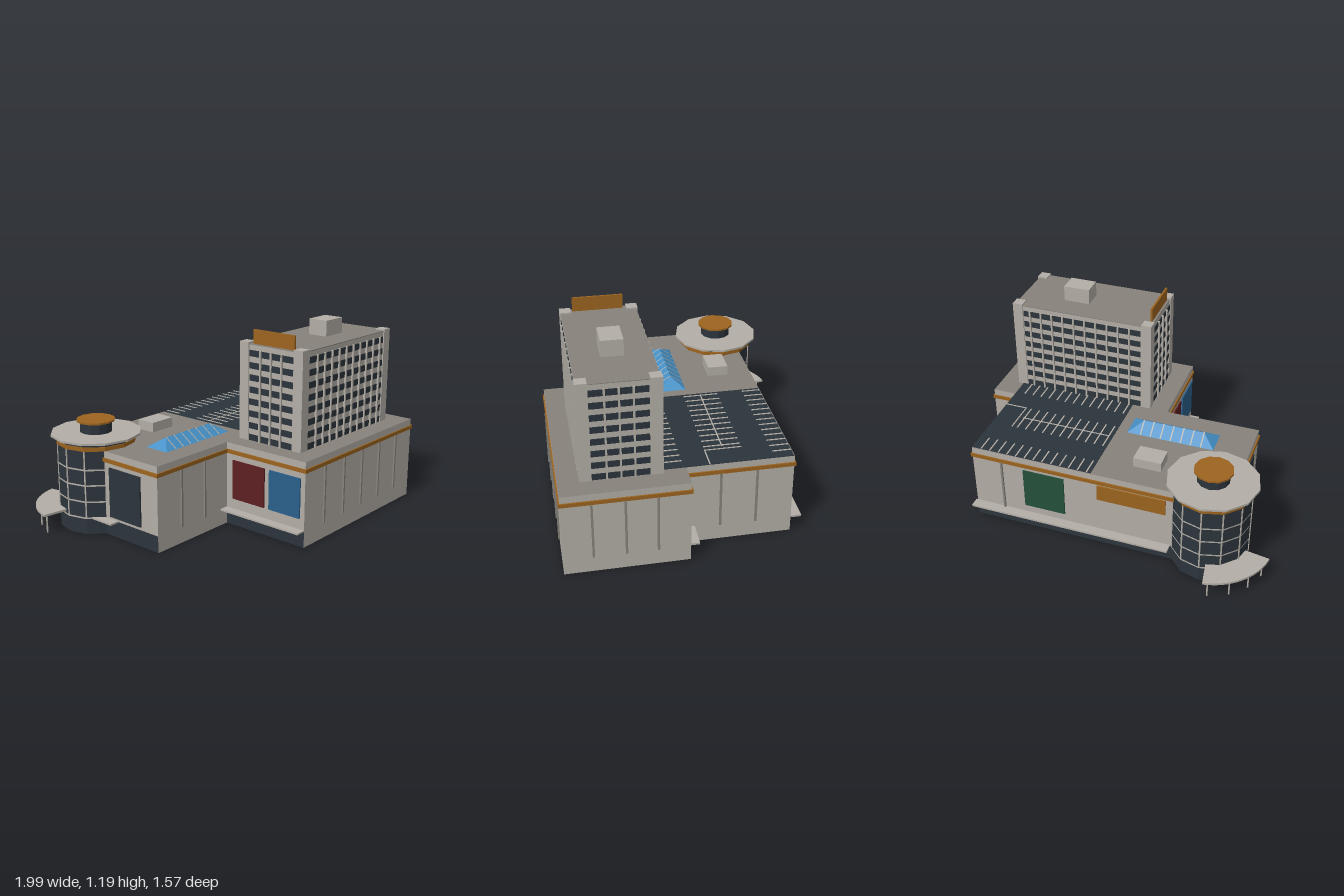
import * as THREE from 'three';

const flat = (name, color) => new THREE.MeshStandardMaterial({ name, color, side: THREE.DoubleSide, flatShading: true });
const M = {
  wall: flat('pale concrete', 0xb3aea6),
  roof: flat('roof grey', 0x87837b),
  orange: flat('ochre trim', 0x9c641f),
  glass: flat('dark glass', 0x2c343c),
  sky: flat('skylight blue', 0x4590c6),
  green: flat('green panel', 0x24503a),
  red: flat('red panel', 0x5e2022),
  blue: flat('blue panel', 0x2a608c),
};

export function createModel() {
  const model = new THREE.Group();
  const add = (name, geo, mat, parent = model) => {
    const m = new THREE.Mesh(geo, mat);
    m.name = name;
    parent.add(m);
    return m;
  };
  const group = (name) => {
    const g = new THREE.Group();
    g.name = name;
    model.add(g);
    return g;
  };
  // box given by its min and max on each axis
  const box = (name, mat, x0, x1, y0, y1, z0, z1, parent) => {
    const m = add(name, new THREE.BoxGeometry(x1 - x0, y1 - y0, z1 - z0), mat, parent);
    m.position.set((x0 + x1) / 2, (y0 + y1) / 2, (z0 + z1) / 2);
    return m;
  };
  const drum = (name, mat, r, y0, y1, parent, open = false) => {
    const m = add(name, new THREE.CylinderGeometry(r, r, y1 - y0, 12, 1, open), mat, parent);
    m.position.y = (y0 + y1) / 2;
    return m;
  };
  const triangles = (corners) => {
    const g = new THREE.BufferGeometry();
    g.setAttribute('position', new THREE.Float32BufferAttribute(corners.flat(), 3));
    g.computeVertexNormals();
    return g;
  };
  const quad = (a, b, c, d) => [a, b, c, a, c, d];

  // podium: open-bottomed walls round an L-shaped plan; glazed base where flagged
  const plan = [[-0.75, -0.54, 1], [0.83, -0.54, 0], [0.83, 0.07, 1], [0.98, 0.07, 0],
    [0.98, 0.77, 0], [-0.16, 0.77, 1], [-0.16, 0.2, 0], [-0.75, 0.2, 1]];
  const podium = group('podium');
  plan.forEach(([x, z, glazed], i) => {
    const [u, w] = plan[(i + 1) % plan.length];
    const strip = (y0, y1) => triangles(quad([x, y0, z], [x, y1, z], [u, y1, w], [u, y0, w]));
    if (glazed) add('glazedBase', strip(0, 0.1), M.glass, podium);
    add('podiumWall', strip(glazed ? 0.1 : 0, 0.51), M.wall, podium);
    const t = 0.008;
    box('ochreBand', M.orange, Math.min(x, u) - t, Math.max(x, u) + t, 0.447, 0.47,
      Math.min(z, w) - t, Math.max(z, w) + t, podium);
  });
  const roofShape = new THREE.Shape(plan.map(([x, z]) => new THREE.Vector2(x, -z)));
  add('podiumRoof', new THREE.ShapeGeometry(roofShape).rotateX(-Math.PI / 2), M.roof, podium).position.y = 0.51;

  // vertical wall fins
  const fins = group('wallFins');
  const fin = (x, z) => box('wallFin', M.roof, x - 0.006, x + 0.006, 0.1, 0.448, z - 0.006, z + 0.006, fins);
  for (const x of [0.025, 0.22, 0.41, 0.6, 0.79]) fin(x, 0.775);
  for (const x of [-0.56, -0.365]) fin(x, 0.205);
  for (const z of [0.25, 0.425, 0.605]) fin(0.985, z);
  for (const z of [-0.33, -0.125]) fin(0.835, z);
  fin(0.64, -0.545);

  // ground-floor canopies
  const canopies = group('canopies');
  box('rearCanopy', M.wall, -0.42, 0.84, 0.095, 0.107, -0.6, -0.54, canopies);
  box('sideCanopy', M.wall, -0.22, -0.16, 0.095, 0.105, 0.2, 0.77, canopies);
  box('notchCanopy', M.wall, 0.83, 0.98, 0.095, 0.107, 0.02, 0.07, canopies);
  box('leftCanopy', M.wall, -0.81, -0.75, 0.095, 0.105, -0.3, -0.12, canopies);

  // coloured wall panels
  const panels = group('wallPanels');
  box('greenPanel', M.green, 0.24, 0.5, 0.16, 0.425, -0.548, -0.54, panels);
  box('ochrePanel', M.orange, -0.39, 0.03, 0.335, 0.437, -0.549, -0.54, panels);
  box('redPanel', M.red, -0.169, -0.16, 0.17, 0.41, 0.25, 0.485, panels);
  box('bluePanel', M.blue, -0.169, -0.16, 0.17, 0.41, 0.52, 0.74, panels);
  box('glassPanel', M.glass, -0.759, -0.75, 0.12, 0.42, -0.18, 0.07, panels);

  // rooftop parking with bay lines
  const parking = group('rooftopParking');
  box('parkingDeck', M.glass, 0.07, 0.83, 0.508, 0.513, -0.535, 0.2, parking);
  const line = (x0, x1, z0, z1) => box('bayLine', M.wall, x0, x1, 0.512, 0.516, z0, z1, parking);
  for (let i = 0; i < 13; i++) {
    const x = 0.095 + i * 0.0562;
    line(x - 0.004, x + 0.004, -0.535, -0.425);
    line(x - 0.004, x + 0.004, 0.085, 0.2);
    if (i < 11) line(x - 0.004, x + 0.004, -0.27, -0.06);
  }
  line(0.095, 0.665, -0.168, -0.161);
  line(0.689, 0.696, -0.27, -0.06);
  line(0.689, 0.83, -0.064, -0.057);

  // hipped skylight with ribs
  const skylight = group('skylight');
  const [sx0, sx1, sz0, sz1, rx0, rx1, rz, sy, ry] = [-0.54, 0.005, -0.09, 0.07, -0.46, -0.08, -0.01, 0.511, 0.567];
  const A = [sx0, sy, sz1], B = [sx1, sy, sz1], C = [sx1, sy, sz0], D = [sx0, sy, sz0];
  const P = [rx0, ry, rz], Q = [rx1, ry, rz];
  add('skylightGlass', triangles([...quad(A, B, Q, P), ...quad(C, D, P, Q), B, C, Q, D, A, P]), M.sky, skylight);
  for (let i = 0; i < 7; i++) {
    const x = rx0 + (i / 6) * (rx1 - rx0);
    for (const z of [sz0, sz1]) {
      const h = 0.003, w = 0.004;
      add('skylightRib', triangles(quad([x - w, sy + h, z], [x + w, sy + h, z],
        [x + w, ry + h, rz], [x - w, ry + h, rz])), M.wall, skylight);
    }
  }
  box('roofPlant', M.wall, -0.31, -0.14, 0.51, 0.57, -0.39, -0.265);

  // tower slab with corner piers
  const tower = group('tower');
  const [tx0, tx1, tz0, tz1] = [-0.04, 0.855, 0.207, 0.645];
  box('towerBody', M.wall, tx0, tx1, 0.51, 1.087, tz0, tz1, tower);
  box('towerRoof', M.roof, tx0, tx1, 1.086, 1.091, tz0, tz1, tower);
  for (const x of [-0.047, 0.8]) for (const z of [0.2, 0.587])
    box('cornerPier', M.wall, x, x + 0.064, 0.51, 1.1, z, z + 0.065, tower);
  for (let i = 0; i < 8; i++) {
    const y = 0.511 + i * 0.0725;
    for (const z of [tz0, tz1]) box('longWindowBand', M.glass, 0.022, 0.795, y, y + 0.037, z - 0.004, z + 0.004, tower);
    for (const x of [tx0, tx1]) box('endWindowBand', M.glass, x - 0.004, x + 0.004, y, y + 0.037, 0.27, 0.585, tower);
  }
  for (let i = 0; i < 10; i++) {
    const x = 0.094 + i * 0.073;
    for (const z of [tz0, tz1]) box('towerFin', M.wall, x - 0.005, x + 0.005, 0.51, 1.06, z - 0.013, z + 0.013, tower);
  }
  for (let i = 0; i < 3; i++) {
    const z = 0.352 + i * 0.076;
    for (const x of [tx0, tx1]) box('towerFin', M.wall, x - 0.013, x + 0.013, 0.51, 1.06, z - 0.005, z + 0.005, tower);
  }
  box('towerPlant', M.wall, 0.415, 0.58, 1.09, 1.187, 0.36, 0.485, tower);
  box('roofBoard', M.orange, -0.026, -0.014, 1.09, 1.175, 0.283, 0.577, tower);

  // twelve-sided glass rotunda
  const rotunda = group('rotunda');
  rotunda.position.set(-0.63, 0, -0.42);
  const R = 0.232;
  drum('rotundaGlass', M.glass, R, 0, 0.555, rotunda, true);
  for (const y of [0.1, 0.2, 0.3, 0.395]) drum('glazingRing', M.wall, R + 0.004, y - 0.005, y + 0.005, rotunda, true);
  for (let i = 0; i < 12; i++) {
    const a = (i * Math.PI) / 6;
    const m = box('glazingBar', M.wall, -0.004, 0.004, 0.1, 0.51, -0.004, 0.004, rotunda);
    m.position.x = R * Math.sin(a);
    m.position.z = R * Math.cos(a);
    m.rotation.y = a;
  }
  drum('rotundaBand', M.orange, R + 0.006, 0.508, 0.533, rotunda);
  drum('rotundaRoof', M.wall, 0.27, 0.553, 0.566, rotunda);
  drum('lantern', M.glass, 0.096, 0.56, 0.632, rotunda);
  drum('lanternCap', M.orange, 0.115, 0.63, 0.641, rotunda);

  // curved entrance canopy on posts
  const a0 = (99 * Math.PI) / 180, a1 = (171 * Math.PI) / 180;
  const sector = new THREE.Shape();
  sector.absarc(0, 0, 0.375, a0, a1, false);
  sector.absarc(0, 0, 0.22, a1, a0, true);
  const canopy = new THREE.ExtrudeGeometry(sector, { depth: 0.013, bevelEnabled: false, curveSegments: 6 });
  add('entranceCanopy', canopy.rotateX(-Math.PI / 2), M.wall, rotunda).position.y = 0.112;
  for (let i = 0; i < 4; i++) {
    const a = a0 + 0.08 + (i / 3) * (a1 - a0 - 0.16);
    const post = add('canopyPost', new THREE.CylinderGeometry(0.005, 0.005, 0.113, 6), M.wall, rotunda);
    post.position.set(0.345 * Math.cos(a), 0.0565, -0.345 * Math.sin(a));
  }
  return model;
}
